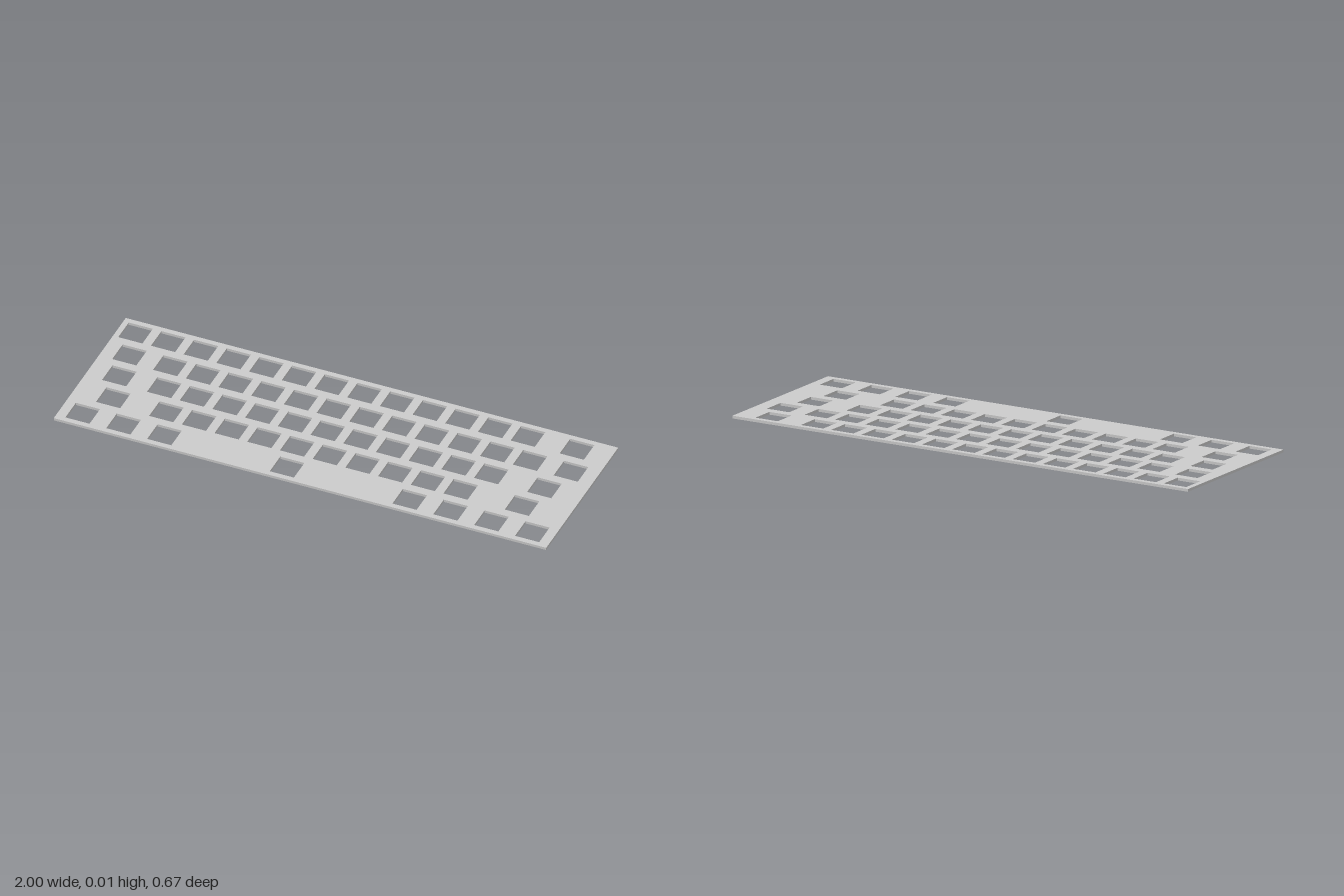
import * as THREE from 'three';

const UNIT = 0.1328;       // spacing of one standard key
const DEPTH = 0.672;
const THICKNESS = 0.0105;
const HOLE = 0.098;        // square switch cutout

// Key widths in units, row by row from back to front
const ones = (n) => Array(n).fill(1);
const ROWS = [
  [...ones(13), 2],
  [1.5, ...ones(12), 1.5],
  [1.75, ...ones(11), 2.25],
  [2.25, ...ones(10), 2.75],
  [1.25, 1.25, 1.25, 6.25, 1.25, 1.25, 1.25, 1.25],
];

// Trace a centred rectangle on a shape or path
function rect(path, x, y, w, h) {
  path.moveTo(x - w / 2, y - h / 2);
  path.lineTo(x + w / 2, y - h / 2);
  path.lineTo(x + w / 2, y + h / 2);
  path.lineTo(x - w / 2, y + h / 2);
  path.closePath();
  return path;
}

export function createModel() {
  const group = new THREE.Group();
  group.name = 'keyboardPlate';

  // Plate outline with a cutout at the middle of every key
  const outline = rect(new THREE.Shape(), 0, 0, 2, DEPTH);
  ROWS.forEach((widths, row) => {
    let left = -7.5;
    for (const w of widths) {
      const x = (left + w / 2) * UNIT;
      outline.holes.push(rect(new THREE.Path(), x, (2 - row) * UNIT, HOLE, HOLE));
      left += w;
    }
  });

  // Extrude upward and lay flat on the ground
  const geometry = new THREE.ExtrudeGeometry(outline, { depth: THICKNESS, bevelEnabled: false });
  geometry.rotateX(-Math.PI / 2);
  const plate = new THREE.Mesh(geometry, new THREE.MeshStandardMaterial({ color: 0xcccccc }));
  plate.name = 'switchPlate';
  group.add(plate);
  return group;
}
